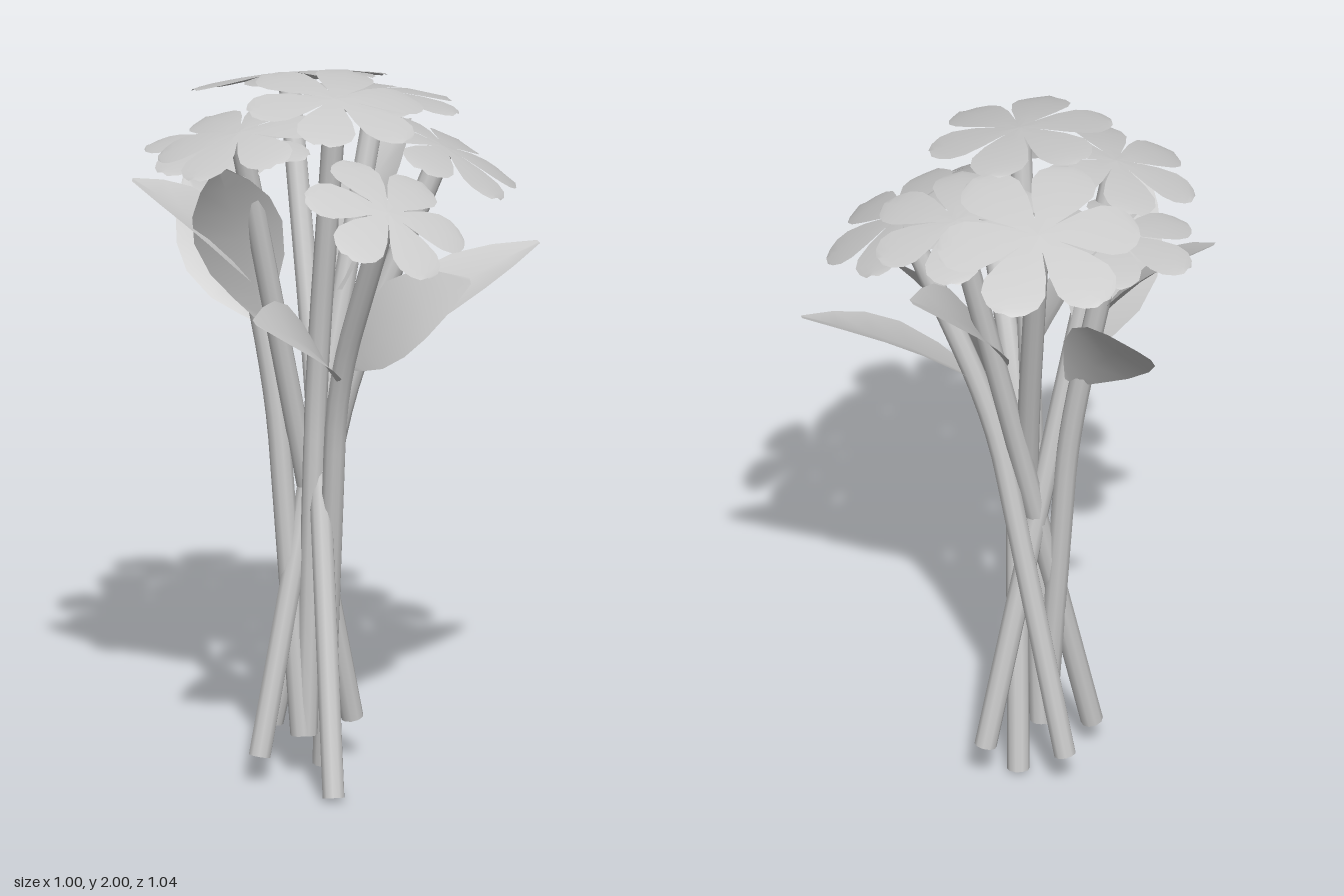
import * as THREE from 'three';

const stemMat = new THREE.MeshStandardMaterial({ color: 0xcccccc });
const thinMat = new THREE.MeshStandardMaterial({ color: 0xcccccc, side: THREE.DoubleSide });
const V = (a) => new THREE.Vector3(...a);
const rad = THREE.MathUtils.degToRad;

// Profiles as [distance along, half width]
const PETAL = [[0, 0.004], [0.25, 0.036], [0.46, 0.064], [0.68, 0.083], [0.83, 0.077], [0.94, 0.052], [1, 0.022]];
const LEAF = [[0, 0.02], [0.12, 0.06], [0.28, 0.105], [0.48, 0.125], [0.66, 0.11], [0.83, 0.07], [1, 0.01]];

// Thin blade lying along +z with its upper face towards +y
function blade(profile, length, scale, heightAt) {
  const geo = new THREE.PlaneGeometry(2, 1, 2, profile.length - 1);
  const pos = geo.attributes.position;
  for (let i = 0; i < pos.count; i++) {
    const side = pos.getX(i);
    const [t, w] = profile[Math.floor(i / 3)];
    pos.setXYZ(i, side * w * scale, heightAt(t, Math.abs(side)), t * length);
  }
  geo.computeVertexNormals();
  return geo;
}

// Bent stem with closed ends
function makeStem(foot, bend, top) {
  const stem = new THREE.Group();
  stem.name = 'stem';
  const a = V(foot), b = V(bend), c = V(top);
  const path = new THREE.CurvePath();
  const before = b.clone().lerp(a, 0.16), after = b.clone().lerp(c, 0.35);
  path.add(new THREE.LineCurve3(a, before));
  path.add(new THREE.QuadraticBezierCurve3(before, b, after));
  path.add(new THREE.LineCurve3(after, c));
  const tube = new THREE.Mesh(new THREE.TubeGeometry(path, 24, 0.031, 10), stemMat);
  tube.name = 'stemTube';
  stem.add(tube);
  for (const [end, inner] of [[a, before], [c, after]]) {
    const cap = new THREE.Mesh(new THREE.CircleGeometry(0.031, 10), stemMat);
    cap.name = 'stemEnd';
    cap.position.copy(end);
    cap.lookAt(end.clone().multiplyScalar(2).sub(inner));
    stem.add(cap);
  }
  return stem;
}

// Six drooping petals around a centre, tilted to face the normal
function makeBloom(centre, normal, radius, turn) {
  const bloom = new THREE.Group();
  bloom.name = 'bloom';
  const geo = blade(PETAL, radius, radius / 0.26, (t, s) => 0.015 - 0.025 * t * t - 0.006 * s * t);
  for (let i = 0; i < 6; i++) {
    const petal = new THREE.Mesh(geo, thinMat);
    petal.name = 'petal';
    petal.rotation.y = rad(turn + i * 60);
    bloom.add(petal);
  }
  bloom.position.copy(V(centre));
  bloom.quaternion.setFromUnitVectors(new THREE.Vector3(0, 1, 0), V(normal).normalize());
  return bloom;
}

// Arched leaf with a slight crease, rolled about its own length
function makeLeaf(base, tip, roll) {
  const from = V(base), to = V(tip);
  const length = from.distanceTo(to);
  const geo = blade(LEAF, length, 1, (t, s) => Math.sin(Math.PI * t) * (0.03 + 0.025 * s));
  const leaf = new THREE.Mesh(geo, thinMat);
  leaf.name = 'leaf';
  leaf.position.copy(from);
  leaf.lookAt(to);
  leaf.rotateZ(rad(roll));
  return leaf;
}

// Each flower: foot and bend of the stem, bloom centre, facing, radius, turn
const FLOWERS = [
  [[0.12, 0.01, 0.2], [-0.04, 1.1, -0.07], [-0.195, 1.91, -0.26], [-0.18, 1, -0.24], 0.28, 12],
  [[-0.04, 0.12, 0], [-0.01, 1.15, 0], [0.08, 1.965, 0.085], [0.17, 1, 0.08], 0.255, 14],
  [[-0.13, 0.08, 0.12], [-0.02, 1.1, -0.1], [0.055, 1.88, -0.285], [0.05, 1, -0.15], 0.24, 28],
  [[-0.18, 0.11, -0.1], [0.05, 1.15, -0.1], [0.28, 1.77, -0.2], [0.45, 1, -0.2], 0.24, 8],
  [[-0.03, 0.01, -0.1], [0.07, 1.15, 0.05], [0.28, 1.7, 0.21], [0.55, 1, 0.22], 0.235, -2],
  [[0.02, 0.12, -0.19], [-0.08, 1.1, 0.02], [-0.155, 1.875, 0.2], [-0.18, 1, 0.2], 0.235, 46],
  [[-0.05, 0.12, 0.01], [-0.13, 1.1, 0], [-0.27, 1.78, 0.01], [-0.04, 1, 0.06], 0.235, 32],
];

// Each leaf: base on a stem, outer tip, roll
const LEAVES = [
  [[0.08, 1.18, -0.04], [0.49, 1.48, -0.39], 12],
  [[0.07, 1.18, 0.08], [0.01, 1.45, 0.51], -40],
  [[0.08, 1.18, -0.04], [0.44, 1.47, -0.01], 55],
  [[0.0, 1.36, -0.13], [0.06, 1.75, -0.51], -22],
  [[-0.15, 1.4, 0.05], [-0.47, 1.72, 0.21], -15],
  [[-0.15, 1.28, -0.02], [-0.48, 1.61, -0.21], -45],
  [[-0.14, 1.33, 0.08], [-0.17, 1.82, 0.32], 35],
];

export function createModel() {
  const bouquet = new THREE.Group();
  bouquet.name = 'bouquet';
  for (const [foot, bend, centre, normal, radius, turn] of FLOWERS) {
    const flower = new THREE.Group();
    flower.name = 'flower';
    flower.add(makeStem(foot, bend, centre), makeBloom(centre, normal, radius, turn));
    bouquet.add(flower);
  }
  for (const [base, tip, roll] of LEAVES) bouquet.add(makeLeaf(base, tip, roll));
  return bouquet;
}
